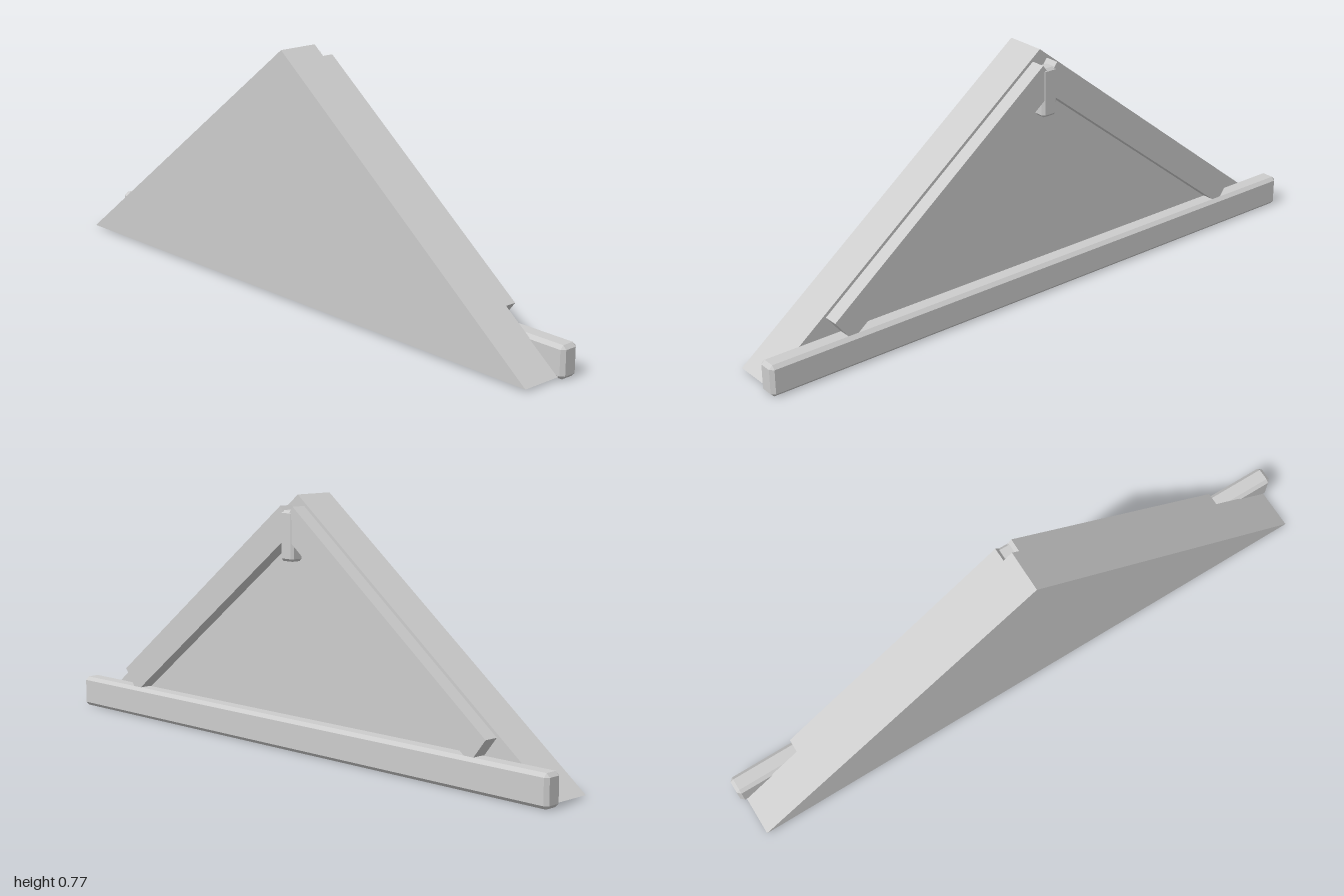
import * as THREE from 'three';
import { ConvexGeometry } from 'three/addons/geometries/ConvexGeometry.js';

// Box with every edge cut by a flat chamfer c
function chamferBox(w, h, d, c) {
  const pts = [];
  for (const sx of [-1, 1]) for (const sy of [-1, 1]) for (const sz of [-1, 1]) {
    const x = w / 2, y = h / 2, z = d / 2;
    pts.push(
      new THREE.Vector3(sx * x, sy * (y - c), sz * (z - c)),
      new THREE.Vector3(sx * (x - c), sy * y, sz * (z - c)),
      new THREE.Vector3(sx * (x - c), sy * (y - c), sz * z)
    );
  }
  return new ConvexGeometry(pts);
}

export function createModel() {
  const group = new THREE.Group();
  const grey = new THREE.MeshStandardMaterial({ color: 0xcccccc });
  grey.name = 'light grey';

  function add(name, geometry, x, y, z) {
    const mesh = new THREE.Mesh(geometry, grey);
    mesh.name = name;
    mesh.position.set(x, y, z);
    group.add(mesh);
    return mesh;
  }

  // Solid triangular gable
  const half = 0.983, base = 0.007, apex = 0.77;
  const triangle = new THREE.Shape([
    new THREE.Vector2(-half, base),
    new THREE.Vector2(half, base),
    new THREE.Vector2(0, apex)
  ]);
  add('gablePanel', new THREE.ExtrudeGeometry(triangle, { depth: 0.132, bevelEnabled: false }), 0, 0, -0.037);

  // Chamfered tie beam along the bottom
  add('tieBeam', chamferBox(2, 0.098, 0.061, 0.011), 0, 0.049, -0.0645);

  // Sloping rafters with square-cut ends
  const angle = Math.atan2(apex - base, half);
  const topX = 0.027, topY = 0.738, endX = 0.78, endY = 0.152;
  const length = Math.hypot(endX - topX, topY - endY), width = 0.09;
  for (const side of [1, -1]) {
    const x = (topX + endX) / 2 - Math.sin(angle) * width / 2;
    const y = (topY + endY) / 2 - Math.cos(angle) * width / 2;
    const rafter = add(side > 0 ? 'leftRafter' : 'rightRafter',
      new THREE.BoxGeometry(length, width, 0.054), side * x, y, -0.057);
    rafter.rotation.z = -side * angle;
  }

  // Short post under the ridge
  add('ridgePost', chamferBox(0.054, 0.152, 0.046, 0.008), 0, 0.649, -0.063);

  return group;
}
